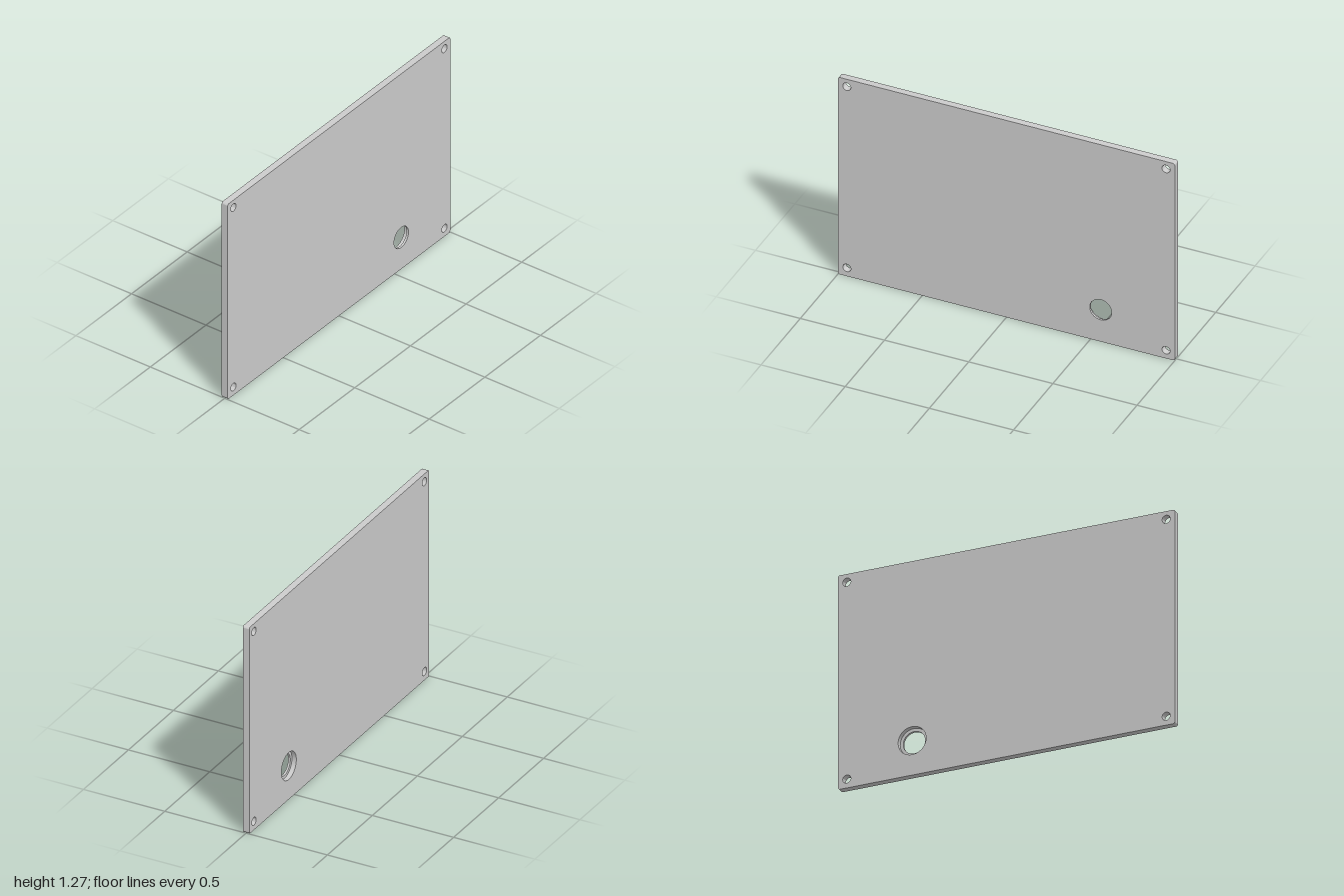
import * as THREE from 'three';
import { toCreasedNormals } from 'three/addons/utils/BufferGeometryUtils.js';

const W = 2, H = 1.27, T = 0.04, CORNER = 0.012;
const PORT = { x: 0.56, y: 0.205, r: 0.065, recess: 0.083, lip: 0.013 };

function circle(x, y, r) {
  return new THREE.Path().absarc(x, y, r, 0, Math.PI * 2, true);
}

export function createModel() {
  const group = new THREE.Group();
  group.name = 'panel';
  const material = new THREE.MeshStandardMaterial({ color: 0xcccccc });

  // Plate outline with slightly rounded corners
  const outline = new THREE.Shape();
  const x = W / 2 - CORNER, top = H - CORNER;
  outline.absarc(x, CORNER, CORNER, -Math.PI / 2, 0);
  outline.absarc(x, top, CORNER, 0, Math.PI / 2);
  outline.absarc(-x, top, CORNER, Math.PI / 2, Math.PI);
  outline.absarc(-x, CORNER, CORNER, Math.PI, Math.PI * 1.5);
  outline.closePath();

  // Mounting holes in the four corners, and the wide port opening
  for (const hx of [-0.948, 0.948]) {
    for (const hy of [0.053, H - 0.048]) outline.holes.push(circle(hx, hy, 0.024));
  }
  outline.holes.push(circle(PORT.x, PORT.y, PORT.recess));

  const plateGeometry = new THREE.ExtrudeGeometry(outline, {
    depth: T, bevelEnabled: false, curveSegments: 24,
  });
  plateGeometry.translate(0, 0, -T / 2);
  const plate = new THREE.Mesh(toCreasedNormals(plateGeometry, 0.6), material);
  plate.name = 'plate';
  group.add(plate);

  // Thin lip flush with the front, leaving a counterbore behind it
  const back = T / 2 - PORT.lip;
  const profile = [
    [PORT.recess, T / 2], [PORT.r, T / 2], [PORT.r, back], [PORT.recess, back],
  ].map(([r, z]) => new THREE.Vector2(r, z));
  const lipGeometry = new THREE.LatheGeometry(profile, 48);
  lipGeometry.rotateX(Math.PI / 2);
  const lip = new THREE.Mesh(toCreasedNormals(lipGeometry, 0.6), material);
  lip.name = 'portLip';
  lip.position.set(PORT.x, PORT.y, 0);
  group.add(lip);

  return group;
}
